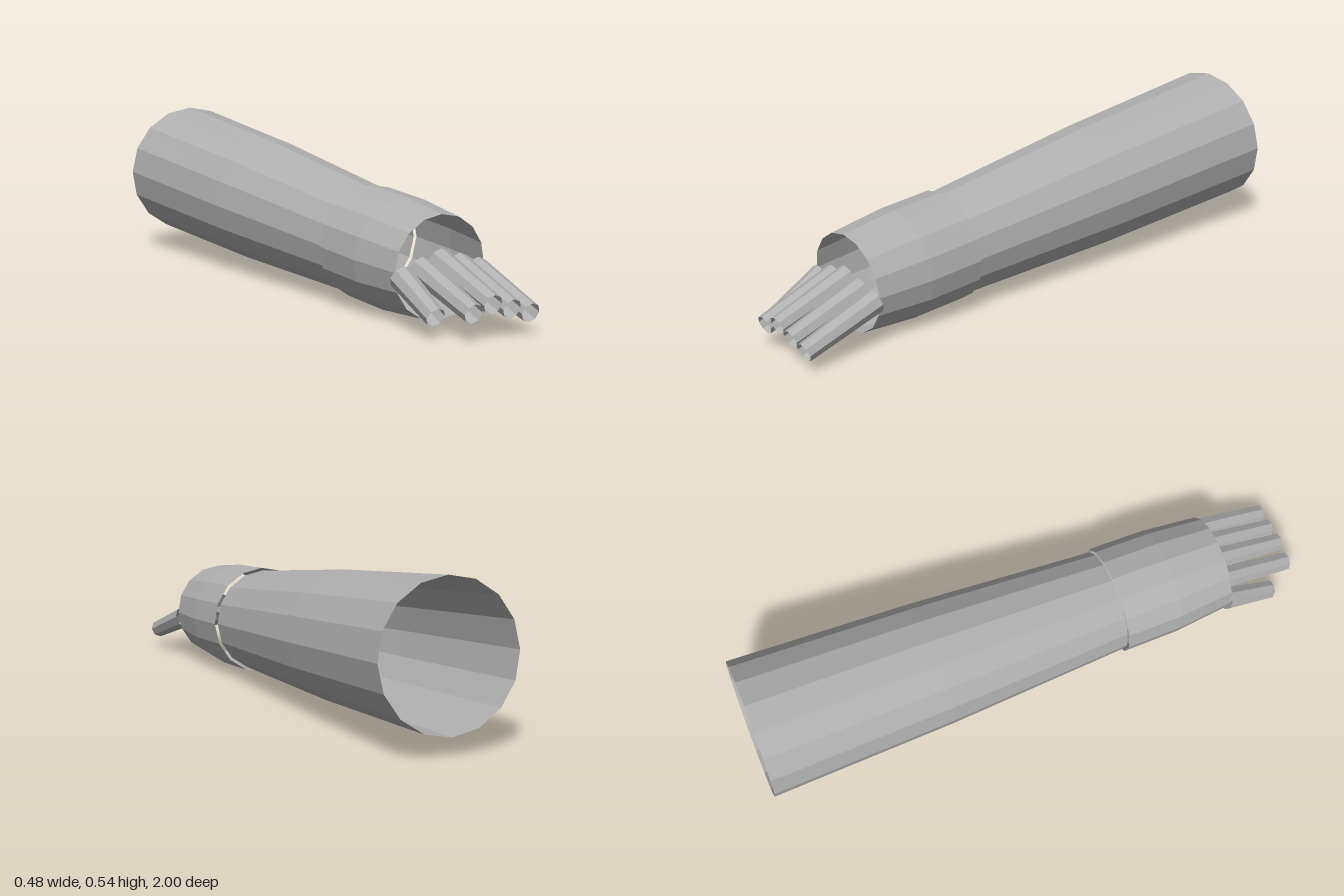
import * as THREE from 'three';

const grey = new THREE.MeshStandardMaterial({ color: 0xb0b0b0, flatShading: true, side: THREE.DoubleSide });
grey.name = 'plain grey';

// Open tube through rings { x, y, z, r, tilt }, listed from back to front.
// Each ring leans forward at its top by tilt; ry is its upright radius.
function loft(name, rings, sides) {
  const pos = [], index = [];
  for (const { x = 0, y, z, r, ry = r, tilt } of rings) {
    for (let j = 0; j < sides; j++) {
      const a = (j / sides) * Math.PI * 2;
      const up = ry * Math.cos(a);
      pos.push(x + r * Math.sin(a), y + up, z + up * tilt);
    }
  }
  for (let i = 0; i < rings.length - 1; i++) {
    for (let j = 0; j < sides; j++) {
      const k = (j + 1) % sides;
      const a = i * sides + j, b = i * sides + k, c = a + sides, d = b + sides;
      index.push(a, c, b, b, c, d);
    }
  }
  const geo = new THREE.BufferGeometry();
  geo.setAttribute('position', new THREE.Float32BufferAttribute(pos, 3));
  geo.setIndex(index);
  geo.computeVertexNormals();
  const mesh = new THREE.Mesh(geo, grey);
  mesh.name = name;
  return mesh;
}

// Tapered finger: base ring in the palm opening, tip ring lower and further forward
function finger(name, x, baseY, tipZ) {
  const baseZ = 0.715, drop = 0.091;
  const tilt = drop / (tipZ - baseZ);
  const squash = 1 / Math.hypot(1, tilt);
  return loft(name, [
    { x, y: baseY, z: baseZ, r: 0.04, ry: 0.04 * squash, tilt },
    { x, y: baseY - drop, z: tipZ, r: 0.0325, ry: 0.0325 * squash, tilt },
  ], 8);
}

export function createModel() {
  const group = new THREE.Group();
  group.name = 'forearmAndHand';

  // Forearm sleeve, open at both ends
  group.add(loft('forearm', [
    { y: 0.301, z: -0.978, r: 0.24, ry: 0.237, tilt: 0.074 },
    { y: 0.251, z: -0.335, r: 0.217, tilt: 0.076 },
    { y: 0.2, z: 0.318, r: 0.178, tilt: 0.06 },
  ], 16));

  // Palm sleeve, slightly wider than the wrist
  group.add(loft('palm', [
    { y: 0.2, z: 0.32, r: 0.188, tilt: 0.055 },
    { y: 0.188, z: 0.52, r: 0.186, tilt: 0.055 },
    { y: 0.178, z: 0.719, r: 0.167, tilt: 0.05 },
  ], 16));

  // Thumb on the -x side is shorter; the fingers step down from the middle one
  group.add(finger('thumb', -0.14, 0.162, 0.897));
  for (let i = -1; i <= 2; i++) {
    group.add(finger('finger' + (i + 2), i * 0.07, 0.202 - Math.abs(i) * 0.02, 0.99));
  }
  return group;
}
